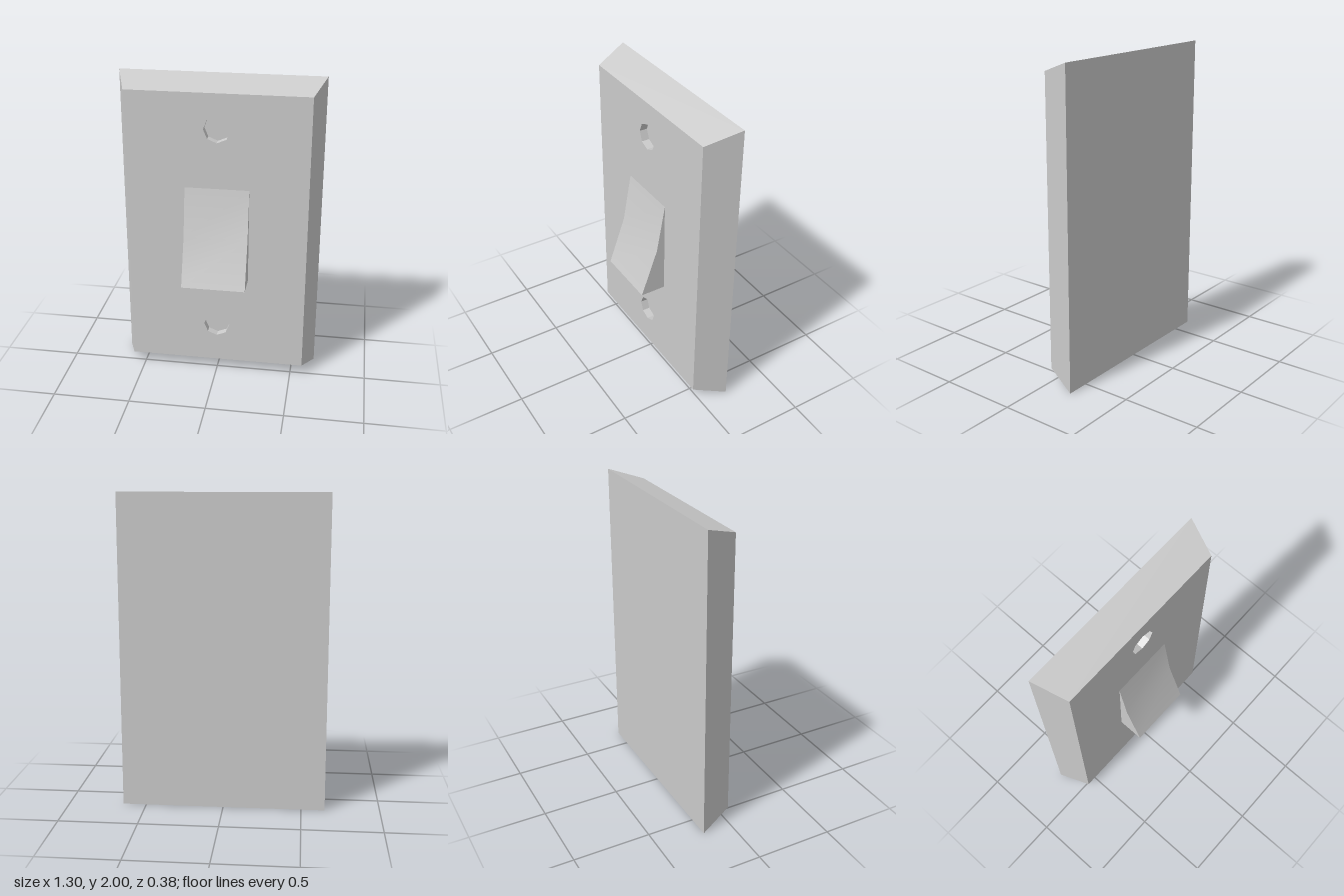
import * as THREE from 'three';
import { toCreasedNormals } from 'three/addons/utils/BufferGeometryUtils.js';

const BACK = -0.19, FRONT = 0.025;   // depth of the plate
const W = 0.65, H = 1, BEVEL = 0.073; // half sizes at the back, inset at the front
const HOLE_R = 0.085, HOLE_DEPTH = 0.05, HOLE_Y = [0.345, 1.7];
const ROCKER_W = 0.41;

export function createModel() {
  const model = new THREE.Group();
  model.name = 'wallSwitch';
  const grey = new THREE.MeshStandardMaterial({ color: 0xcccccc });
  const flat = new THREE.MeshStandardMaterial({ color: 0xcccccc, flatShading: true, side: THREE.DoubleSide });

  const add = (name, geometry, material) => {
    const mesh = new THREE.Mesh(geometry, material);
    mesh.name = name;
    model.add(mesh);
    return mesh;
  };

  // Plate body: a box tapered towards the front, without its front face
  const body = new THREE.BoxGeometry(2 * W, 2 * H, FRONT - BACK);
  const p = body.attributes.position;
  for (let i = 0; i < p.count; i++) {
    if (p.getZ(i) > 0) {
      p.setX(i, Math.sign(p.getX(i)) * (W - BEVEL));
      p.setY(i, Math.sign(p.getY(i)) * (H - BEVEL));
    }
  }
  const index = Array.from(body.index.array);
  index.splice(24, 6);
  body.setIndex(index);
  body.clearGroups();
  body.computeVertexNormals();
  body.translate(0, H, (FRONT + BACK) / 2);
  add('plateBody', body, grey);

  // Front face with two octagonal screw holes
  const w = W - BEVEL, bottom = BEVEL, top = 2 * H - BEVEL;
  const face = new THREE.Shape([[-w, bottom], [w, bottom], [w, top], [-w, top]].map(c => new THREE.Vector2(...c)));
  for (const y of HOLE_Y) {
    const rim = [];
    for (let i = 0; i < 8; i++) {
      const a = i * Math.PI / 4;
      rim.push(new THREE.Vector2(HOLE_R * Math.cos(a), y + HOLE_R * Math.sin(a)));
    }
    face.holes.push(new THREE.Path(rim));
  }
  add('plateFace', new THREE.ShapeGeometry(face).translate(0, 0, FRONT), grey);

  // Recessed wall and floor of each screw hole
  const cup = [[0, -HOLE_DEPTH], [HOLE_R, -HOLE_DEPTH], [HOLE_R, 0]].map(c => new THREE.Vector2(...c));
  for (const y of HOLE_Y) {
    const recess = new THREE.LatheGeometry(cup, 8).rotateX(Math.PI / 2);
    add('screwRecess', recess, flat).position.set(0, y, FRONT);
  }

  // Rocker: side profile (z, y) extruded across x, its bent front shaded smoothly
  const profile = new THREE.Shape([[FRONT, 0.69], [0.19, 0.69], [0.08, 1], [FRONT, 1.315]].map(c => new THREE.Vector2(...c)));
  const rocker = new THREE.ExtrudeGeometry(profile, { depth: ROCKER_W, bevelEnabled: false });
  rocker.rotateY(-Math.PI / 2).translate(ROCKER_W / 2, 0, 0);
  add('rocker', toCreasedNormals(rocker, 0.5), grey);

  return model;
}
